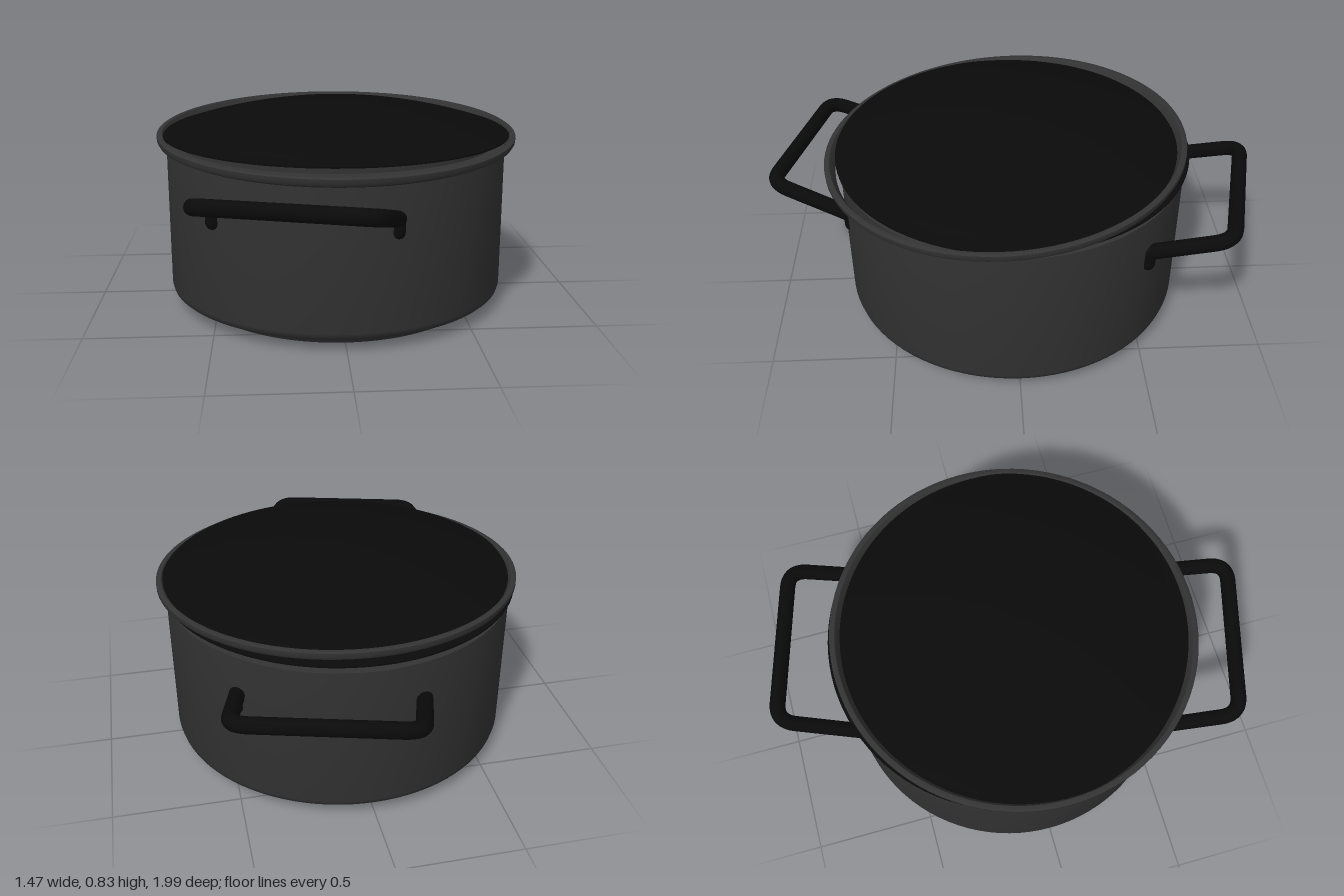
import * as THREE from 'three';
import { toCreasedNormals } from 'three/addons/utils/BufferGeometryUtils.js';

const steel = new THREE.MeshStandardMaterial({ color: 0x333333, side: THREE.DoubleSide });
const black = new THREE.MeshStandardMaterial({ color: 0x0a0a0a, side: THREE.DoubleSide });

function add(parent, name, geometry, material) {
  const mesh = new THREE.Mesh(geometry, material);
  mesh.name = name;
  parent.add(mesh);
  return mesh;
}

// Turned part from [radius, height] pairs
function turned(profile) {
  const points = profile.map(([r, y]) => new THREE.Vector2(r, y));
  return toCreasedNormals(new THREE.LatheGeometry(points, 96), 0.6);
}

// Polyline with rounded corners
function roundedPath(points, radius) {
  const path = new THREE.CurvePath();
  let from = points[0];
  for (let i = 1; i < points.length - 1; i++) {
    const p = points[i];
    const towards = (q) => p.clone().add(q.clone().sub(p).setLength(radius));
    const a = towards(points[i - 1]);
    const b = towards(points[i + 1]);
    path.add(new THREE.LineCurve3(from, a));
    path.add(new THREE.QuadraticBezierCurve3(a, p, b));
    from = b;
  }
  path.add(new THREE.LineCurve3(from, points[points.length - 1]));
  return path;
}

// Bail handle with a riveted tab at each end
function createHandle() {
  const handle = new THREE.Group();
  const points = [
    [-0.485, 0.505, 0.49], [-0.55, 0.602, 0.805], [0.085, 0.602, 0.98], [0.185, 0.505, 0.665],
  ].map((p) => new THREE.Vector3(...p));
  add(handle, 'handleBar', new THREE.TubeGeometry(roundedPath(points, 0.075), 90, 0.031, 14), black);
  for (const [x, z] of [[-0.49, 0.5], [0.185, 0.662]]) {
    const tab = add(handle, 'handleTab', new THREE.CapsuleGeometry(0.028, 0.045, 6, 14), black);
    tab.position.set(x, 0.478, z);
  }
  return handle;
}

export function createModel() {
  const pot = new THREE.Group();
  pot.name = 'cookingPot';

  // Body with inner wall
  add(pot, 'body', turned([
    [0, 0.028], [0.62, 0.028], [0.66, 0.04], [0.685, 0.051], [0.697, 0.062], [0.702, 0.08],
    [0.702, 0.672], [0.66, 0.672], [0.66, 0.705], [0.65, 0.705], [0.65, 0.09], [0, 0.07],
  ]), steel);

  // Base plate, slightly tilted
  const base = add(pot, 'basePlate', turned([
    [0, 0], [0.595, 0], [0.61, 0.006], [0.622, 0.025], [0, 0.025],
  ]), steel);
  base.position.y = 0.011;
  base.rotation.x = 0.017;

  // Loose rim ring, tilted down towards the front
  const rim = add(pot, 'rim', turned([
    [0.695, -0.022], [0.712, -0.022], [0.73, -0.013], [0.736, -0.002], [0.736, 0.014],
    [0.73, 0.018], [0.715, 0.018], [0.708, 0.008], [0.695, -0.022],
  ]), steel);
  rim.position.set(0, 0.703, 0.03);
  rim.rotation.x = 0.054;

  // Domed lid with a thin flat edge
  const dome = [[0, 0.705], [0.718, 0.705], [0.718, 0.711]];
  for (let i = 0; i <= 16; i++) {
    const r = 0.71 * (1 - i / 16);
    dome.push([r, 0.712 + 0.118 * (1 - (r / 0.71) ** 2)]);
  }
  add(pot, 'lid', turned(dome), black);

  // Handles on opposite sides
  ['frontHandle', 'backHandle'].forEach((name, i) => {
    const handle = createHandle();
    handle.name = name;
    handle.rotation.y = i * Math.PI;
    pot.add(handle);
  });

  return pot;
}
